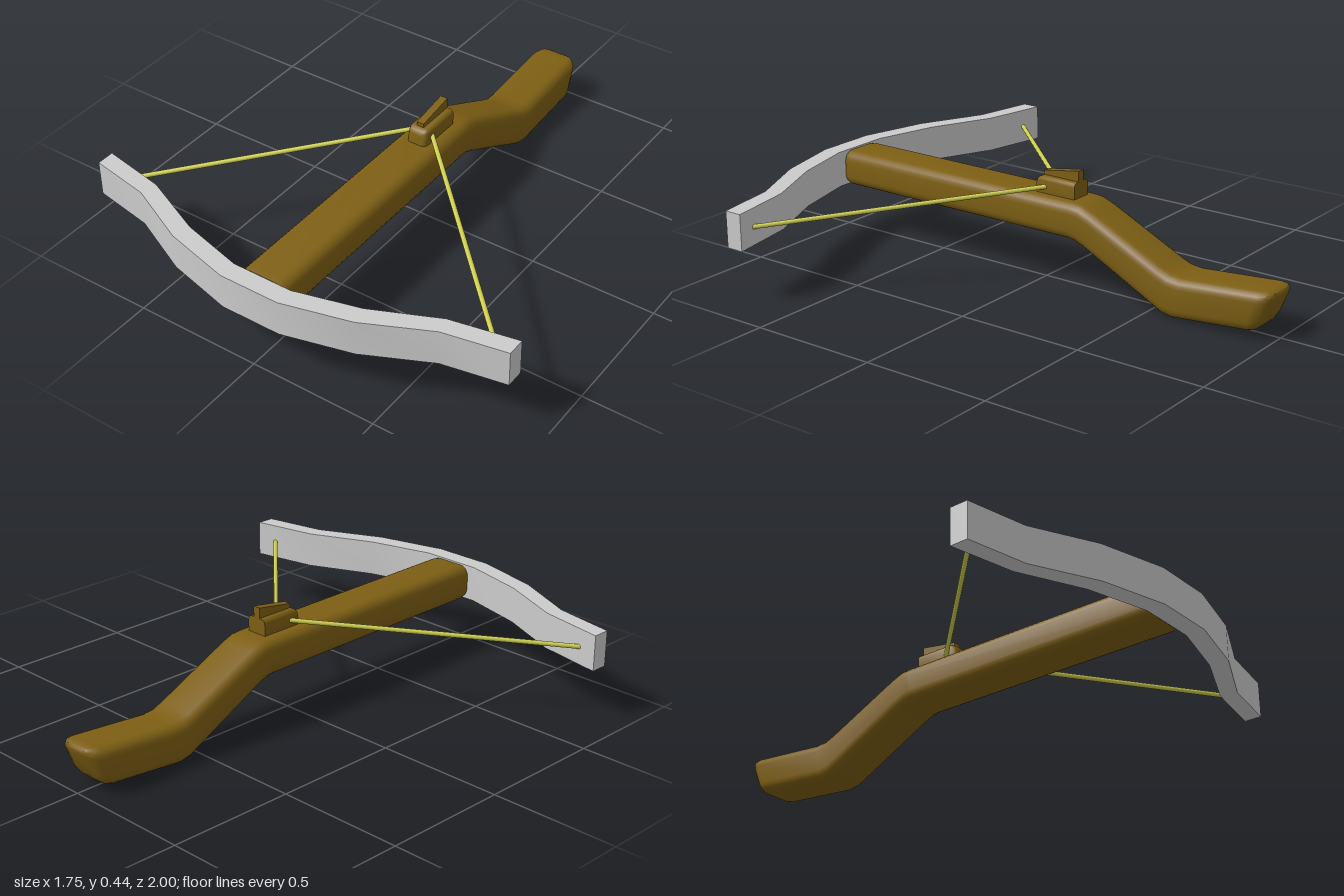
import * as THREE from 'three';
import { toCreasedNormals } from 'three/addons/utils/BufferGeometryUtils.js';

// Rounded-rectangle sections, front to back: [zTop, yTop, zBottom, yBottom, halfWidth, cornerRadius]
function loft(stations, steps = 5) {
  const pos = [], idx = [], n = 4 * (steps + 1);
  for (const [zt, yt, zb, yb, w, r] of stations) {
    const h = Math.hypot(zt - zb, yt - yb);
    for (let q = 0; q < 4; q++) {
      const sx = q === 0 || q === 3 ? 1 : -1, sy = q < 2 ? 1 : -1;
      for (let s = 0; s <= steps; s++) {
        const a = (q + s / steps) * Math.PI / 2;
        const x = sx * (w - r) + r * Math.cos(a);
        const t = 0.5 + (sy * (h / 2 - r) + r * Math.sin(a)) / h;
        pos.push(x, yb + (yt - yb) * t, zb + (zt - zb) * t);
      }
    }
  }
  const last = (stations.length - 1) * n;
  for (let i = 0; i < last; i += n) {
    for (let j = 0; j < n; j++) {
      const k = (j + 1) % n;
      idx.push(i + j, i + n + j, i + k, i + k, i + n + j, i + n + k);
    }
  }
  // End caps
  for (let j = 1; j < n - 1; j++) {
    idx.push(0, j, j + 1, last, last + j + 1, last + j);
  }
  const g = new THREE.BufferGeometry();
  g.setAttribute('position', new THREE.Float32BufferAttribute(pos, 3));
  g.setIndex(idx);
  return toCreasedNormals(g, 0.7);
}

export function createModel() {
  const group = new THREE.Group();
  const wood = new THREE.MeshStandardMaterial({ color: 0x7d5f14 });
  const metal = new THREE.MeshStandardMaterial({ color: 0xcccccc });
  const cord = new THREE.MeshStandardMaterial({ color: 0xcfcf50 });
  const add = (name, geometry, material) => {
    const mesh = new THREE.Mesh(geometry, material);
    mesh.name = name;
    group.add(mesh);
    return mesh;
  };

  // Stock: straight tiller, dropped wrist and slanted butt
  add('stock', loft([
    [0.93, 0.325, 0.93, 0.215, 0.08, 0.035],
    [0.922, 0.336, 0.922, 0.204, 0.09, 0.038],
    [0.90, 0.34, 0.90, 0.20, 0.095, 0.04],
    [-0.17, 0.34, -0.15, 0.20, 0.095, 0.04],
    [-0.205, 0.337, -0.18, 0.196, 0.095, 0.04],
    [-0.25, 0.32, -0.22, 0.18, 0.095, 0.04],
    [-0.55, 0.177, -0.52, 0.028, 0.095, 0.04],
    [-0.59, 0.161, -0.56, 0.008, 0.095, 0.04],
    [-0.64, 0.156, -0.60, 0, 0.095, 0.04],
    [-0.955, 0.182, -0.905, 0.027, 0.095, 0.04],
    [-0.983, 0.183, -0.928, 0.032, 0.087, 0.04],
    [-0.996, 0.176, -0.942, 0.042, 0.075, 0.035],
    [-1.0, 0.165, -0.953, 0.056, 0.056, 0.025],
  ]), wood);

  // Recurved bow: plan outline drawn for one half, mirrored, extruded upward
  const front = [[0.12, 1.0], [0.385, 0.933], [0.635, 0.815], [0.877, 0.77]];
  const back = [[0.877, 0.70], [0.62, 0.75], [0.37, 0.862], [0.12, 0.927]];
  const half = [...front, ...back];
  const outline = [...half, ...half.map(([x, z]) => [-x, z]).reverse()];
  const bowShape = new THREE.Shape(outline.map(([x, z]) => new THREE.Vector2(x, -z)));
  const bow = new THREE.ExtrudeGeometry(bowShape, { depth: 0.14, bevelEnabled: false });
  bow.rotateX(-Math.PI / 2).translate(0, 0.2, 0);
  add('bow', toCreasedNormals(bow, 0.6), metal);

  // Drawn string: one straight cord from each limb to the catch
  for (const side of [1, -1]) {
    const tip = side > 0 ? new THREE.Vector3(0.80, 0.268, 0.72) : new THREE.Vector3(-0.848, 0.262, 0.768);
    const nock = new THREE.Vector3(side * 0.02, 0.367, -0.04);
    const path = new THREE.LineCurve3(tip, nock);
    add(side > 0 ? 'leftString' : 'rightString', new THREE.TubeGeometry(path, 1, 0.009, 10), cord);
  }

  // Catch block with sloping rounded nose
  add('catchBlock', loft([
    [0.022, 0.385, 0.035, 0.31, 0.028, 0.01],
    [0.015, 0.394, 0.03, 0.305, 0.037, 0.014],
    [0.0, 0.402, 0.018, 0.30, 0.042, 0.016],
    [-0.155, 0.402, -0.155, 0.30, 0.042, 0.016],
  ]), wood);

  // Wedge-shaped sight fin on the catch
  const finShape = new THREE.Shape([[0, 0.39], [0, 0.418], [-0.155, 0.443], [-0.155, 0.39]]
    .map(([z, y]) => new THREE.Vector2(-z, y)));
  const fin = new THREE.ExtrudeGeometry(finShape, { depth: 0.03, bevelEnabled: false });
  fin.translate(0, 0, -0.015).rotateY(Math.PI / 2);
  add('sightFin', fin, wood);

  return group;
}
